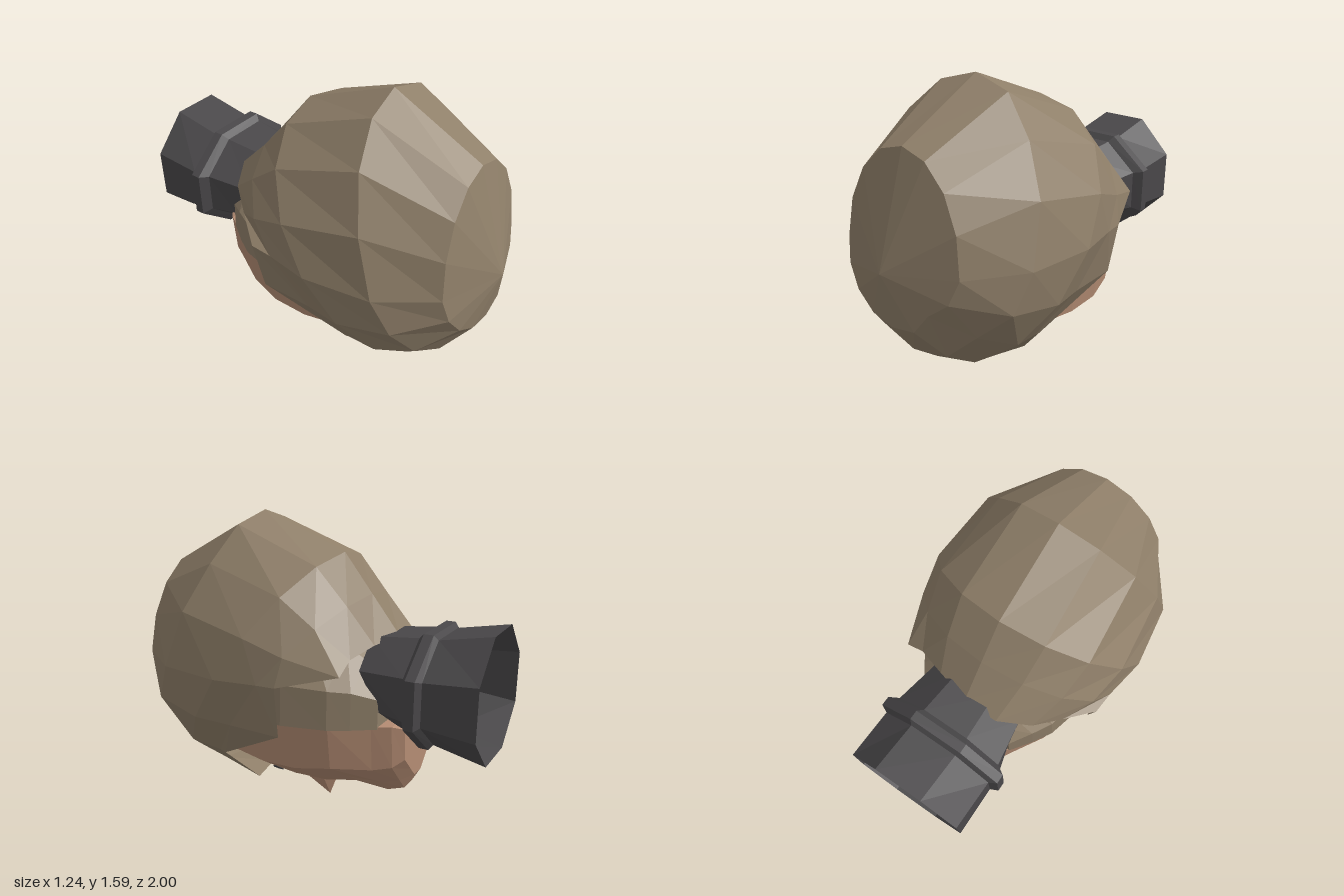
import * as THREE from 'three';

const mat = (name, color, side = THREE.FrontSide) => {
  const m = new THREE.MeshStandardMaterial({ color, side, flatShading: true });
  m.name = name;
  return m;
};

// Faceted skin over closed rings of [x, y, z], ordered from +z to -z
function loft(rings, capEnd = false) {
  const out = [];
  const tri = (...pts) => pts.forEach((p) => out.push(...p));
  const n = rings[0].length;
  for (let i = 0; i < rings.length - 1; i++) {
    for (let j = 0; j < n; j++) {
      const k = (j + 1) % n;
      const [a, b] = [rings[i][j], rings[i][k]];
      const [d, c] = [rings[i + 1][j], rings[i + 1][k]];
      tri(a, d, b);
      tri(b, d, c);
    }
  }
  if (capEnd) {
    const last = rings[rings.length - 1];
    const mid = [0, 1, 2].map((q) => last.reduce((s, p) => s + p[q], 0) / n);
    for (let j = 0; j < n; j++) tri(mid, last[(j + 1) % n], last[j]);
  }
  const g = new THREE.BufferGeometry();
  g.setAttribute('position', new THREE.Float32BufferAttribute(out, 3));
  g.computeVertexNormals();
  return g;
}

export function createModel() {
  const group = new THREE.Group();
  const hair = mat('hair', 0x8f7f69, THREE.DoubleSide);
  const skin = mat('skin', 0xb48c73, THREE.DoubleSide);
  const collar = mat('collar', 0x4a484a, THREE.DoubleSide);
  const dark = mat('eyes', 0x353538);
  const add = (name, geo, material) => {
    const m = new THREE.Mesh(geo, material);
    m.name = name;
    group.add(m);
    return m;
  };

  // Hair shell: tilted rings from the crown to a jagged hem
  // [top y, top z, half width, side z, bottom y, bottom z]
  const shells = [
    [1.34, 0.82, 0.38, 0.87, 0.48, 0.95],
    [1.59, 0.34, 0.57, 0.6, 0.3, 0.83],
    [1.4, -0.15, 0.62, 0.25, 0.18, 0.68],
    [1.2, -0.31, 0.58, 0.02, 0.13, 0.54],
    [1.0, -0.47, 0.49, -0.08, 0.11, 0.3],
  ];
  const hemZ = [-0.08, -0.37, -0.37, -0.42, -0.47, -0.47, -0.38, -0.25,
    -0.1, -0.07, 0.36, 0.26, 0.32, 0.26, 0.36, -0.07];
  // Locks pushed in or out, keyed by ring and spoke
  const locks = { '0-14': 0.85, '0-15': 0.95, '1-14': 0.92, '1-2': 0.97, '4-11': 1.06, '4-13': 1.06 };
  const hairRings = shells.map(([ty, tz, w, sz, by, bz], r) => hemZ.map((hz, j) => {
    const a = (j * Math.PI) / 8;
    const s = Math.sin(a);
    const hem = r === 4;
    const half = hem && s < 0.1 ? 0.57 : w;
    const k = locks[`${r}-${j}`] ?? 1;
    const y = 0.82 + (s > 0 ? ty - 0.82 : 0.82 - by) * s * k;
    const z = hem ? hz : sz + ((s > 0 ? tz : bz) - sz) * Math.abs(s);
    return [half * Math.cos(a) * k, y, z];
  }));
  hairRings.unshift(hemZ.map(() => [0, 0.78, 1]));
  add('hairShell', loft(hairRings), hair);

  // Face and jaw: [z, half width, lowest y, upper y]
  const face = [
    [0.42, 0.38, 0.22, 0.6], [0.3, 0.43, 0.14, 0.6], [0.1, 0.46, 0.11, 0.6],
    [-0.1, 0.46, 0.12, 0.6], [-0.28, 0.41, 0.16, 0.6], [-0.46, 0.29, 0.14, 0.6],
    [-0.55, 0.24, 0.17, 0.6], [-0.6, 0.19, 0.26, 0.58],
  ];
  const jawShape = [[1, 1], [0.92, 0.47], [0.5, 0.21], [0.22, 0.04]];
  add('face', loft(face.map(([z, w, b, u]) => {
    const right = jawShape.map(([fx, fy]) => [fx * w, b + (u - b) * fy, z]);
    const left = right.map(([x, y]) => [-x, y, z]);
    return [...left, ...right.reverse()];
  }), true), skin);

  // Close-cropped hair on the back of the head, below the shell: [z, half width, side y, top y]
  const nape = [[0.3, 0.46, 0.8, 1.2], [-0.05, 0.48, 0.8, 1.15], [-0.28, 0.42, 0.79, 1.02],
    [-0.38, 0.36, 0.78, 0.95], [-0.49, 0.28, 0.74, 0.9]];
  add('napeHair', loft(nape.map(([z, w, side, top]) => [
    [w, 0.59, z], [w * 0.98, side, z], [w * 0.5, top - 0.05, z], [0, top, z],
    [-w * 0.5, top - 0.05, z], [-w * 0.98, side, z], [-w, 0.59, z],
  ]), true), hair);

  // Nose
  const bridge = [0, 0.11, 0.14];
  add('nose', loft([
    [bridge, bridge, bridge],
    [[-0.07, 0.14, -0.06], [0, 0, -0.07], [0.07, 0.14, -0.06]],
    [[-0.04, 0.14, -0.11], [0, 0.12, -0.11], [0.04, 0.14, -0.11]],
  ], true), skin);

  // Eyes
  for (const side of [-1, 1]) {
    const eye = add(side > 0 ? 'leftEye' : 'rightEye', new THREE.CylinderGeometry(0.036, 0.036, 0.009, 6), dark);
    eye.position.set(side * 0.23, 0.213, 0.13);
    eye.rotation.z = side * 0.62;
    eye.scale.z = 0.85;
  }

  // Hollow octagonal neck with a raised band: [z, half width, half height, centre y]
  const neck = [
    [-0.63, 0.31, 0.26, 0.78], [-0.66, 0.36, 0.295, 0.775], [-0.71, 0.36, 0.295, 0.775],
    [-0.73, 0.32, 0.27, 0.775], [-1, 0.32, 0.325, 0.775],
  ];
  const octagon = (w, h, cy, zAt) => Array.from({ length: 8 }, (_, j) => {
    const a = ((j + 0.5) * Math.PI) / 4;
    const k = 1 / Math.cos(Math.PI / 8);
    return [w * k * Math.cos(a), cy + h * k * Math.sin(a), zAt(j)];
  });
  // Slanted front edge, longer at the top
  const edgeZ = [-0.38, -0.37, -0.37, -0.38, -0.49, -0.6, -0.6, -0.49];
  const neckRings = neck.map(([z, w, h, cy]) => octagon(w, h, cy, () => z));
  add('neckCollar', loft([octagon(0.27, 0.235, 0.775, (j) => edgeZ[j]), ...neckRings]), collar);

  return group;
}
